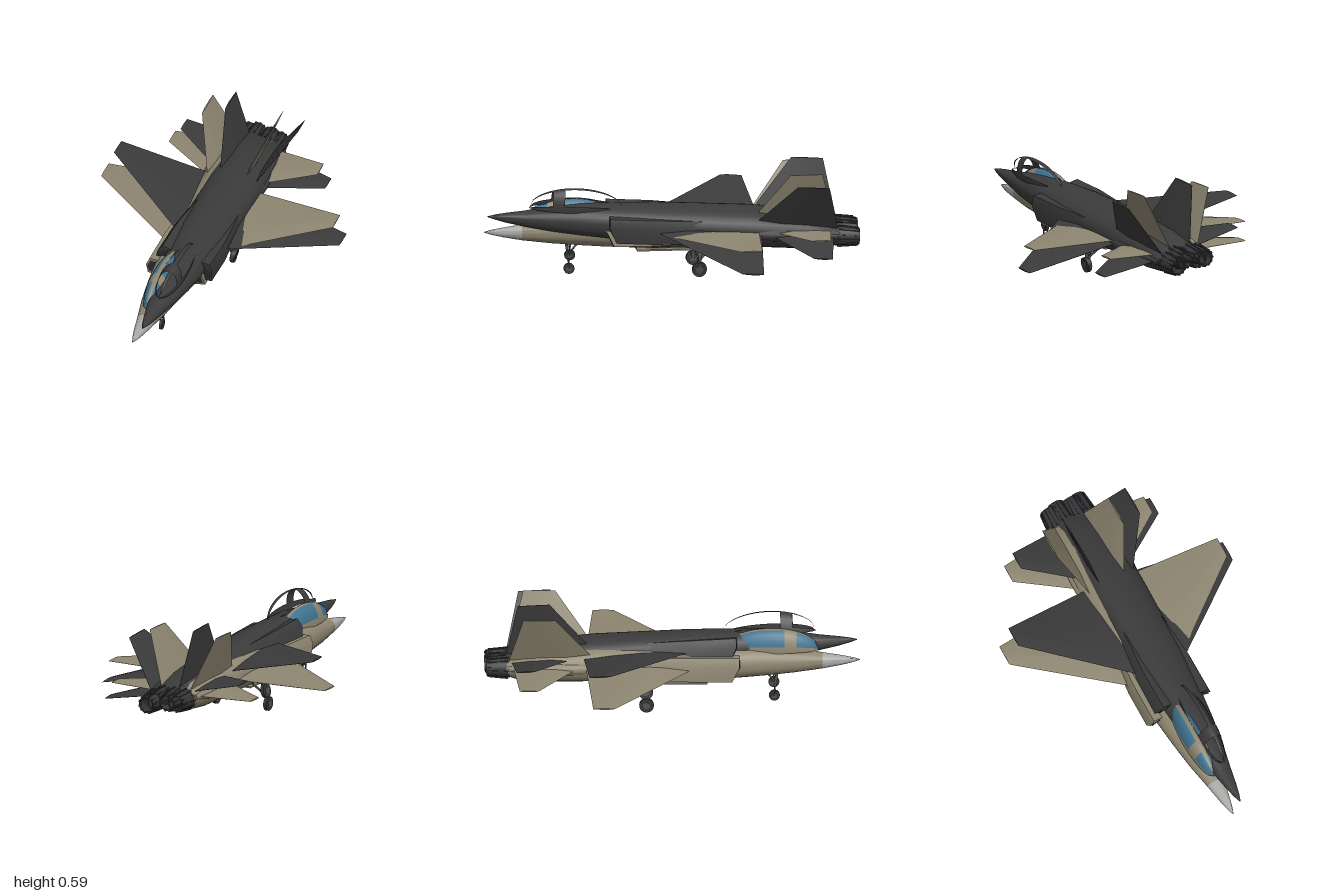
import * as THREE from 'three';
import { toCreasedNormals } from 'three/addons/utils/BufferGeometryUtils.js';

const mat = (name, color) => new THREE.MeshStandardMaterial({ name, color, side: THREE.DoubleSide });

function add(group, name, geometry, material, x = 0, y = 0, z = 0) {
  const mesh = new THREE.Mesh(geometry, material);
  mesh.name = name;
  mesh.position.set(x, y, z);
  group.add(mesh);
  return mesh;
}

// Skin a closed solid over rings of points; winding is corrected by signed volume.
function loft(rings, crease = 0.6) {
  const n = rings[0].length, tris = [];
  for (let i = 0; i < rings.length - 1; i++) {
    for (let j = 0; j < n; j++) {
      const k = (j + 1) % n;
      const a = rings[i][j], b = rings[i][k], c = rings[i + 1][k], d = rings[i + 1][j];
      tris.push([a, b, c], [a, c, d]);
    }
  }
  const first = rings[0], last = rings[rings.length - 1];
  for (let j = 1; j < n - 1; j++) {
    tris.push([first[0], first[j + 1], first[j]], [last[0], last[j], last[j + 1]]);
  }
  let volume = 0;
  for (const [a, b, c] of tris) volume += a.dot(new THREE.Vector3().crossVectors(b, c));
  const points = tris.flatMap(([a, b, c]) => (volume < 0 ? [a, c, b] : [a, b, c]));
  return toCreasedNormals(new THREE.BufferGeometry().setFromPoints(points), crease);
}

// Rounded body section: z, half width, top, bottom.
function bodyRing([z, w, top, bottom]) {
  const ring = [];
  for (let i = 0; i < 32; i++) {
    const a = (i / 32) * Math.PI * 2, c = Math.cos(a), s = Math.sin(a);
    const round = (v) => Math.sign(v) * Math.abs(v) ** 0.88;
    ring.push(new THREE.Vector3(w * round(c), round(s) * (s > 0 ? top : -bottom), z));
  }
  return ring;
}

// Thin tapered aerofoil between stations [x, y, zFront, zBack, halfThickness].
function aerofoil(stations, side, upright = false) {
  const profile = [[0, 0], [0.3, 1], [0.7, 0.8], [1, 0.1], [1, -0.1], [0.7, -0.8], [0.3, -1]];
  return loft(stations.map(([x, y, z0, z1, t]) => profile.map(([f, h]) => new THREE.Vector3(
    side * (x + (upright ? h * t : 0)), y + (upright ? 0 : h * t), z0 + (z1 - z0) * f))), 0.3);
}

// Patch of the canopy ellipsoid: lengthwise range u, angle range a from the crown.
function canopyPatch(u0, u1, a0, a1, scale) {
  const g = new THREE.PlaneGeometry(1, 1, 24, 16), p = g.attributes.position;
  for (let i = 0; i < p.count; i++) {
    const u = u0 + (u1 - u0) * (p.getX(i) + 0.5), a = a0 + (a1 - a0) * (p.getY(i) + 0.5);
    const s = Math.sqrt(Math.max(0, 1 - u * u)) * scale;
    p.setXYZ(i, 0.062 * s * Math.sin(a), 0.116 * s * Math.cos(a), 0.25 * u * scale);
  }
  g.computeVertexNormals();
  return g;
}

function rod(group, name, from, to, radius, material) {
  const a = new THREE.Vector3(...from), b = new THREE.Vector3(...to);
  add(group, name, new THREE.TubeGeometry(new THREE.LineCurve3(a, b), 1, radius, 10), material);
}

function wheel(group, name, x, y, z, r, width, m) {
  const tyre = new THREE.CylinderGeometry(r, r, width, 24).rotateZ(Math.PI / 2);
  add(group, name, tyre, m.tyre, x, y, z);
  add(group, name + 'Hub', new THREE.CylinderGeometry(r * 0.5, r * 0.5, width + 0.006, 16).rotateZ(Math.PI / 2), m.metal, x, y, z);
}

function buildJet(name, skin, nose, glazed, m) {
  const jet = new THREE.Group();
  jet.name = name;

  // Nose cone and fuselage
  const joint = [0.8, 0.047, 0.036, -0.046];
  add(jet, 'noseCone', loft([[1, 0.002, 0.002, -0.002], [0.96, 0.015, 0.012, -0.014],
    [0.9, 0.029, 0.022, -0.028], joint].map(bodyRing)), nose);
  add(jet, 'fuselage', loft([joint, [0.65, 0.077, 0.064, -0.064], [0.5, 0.098, 0.084, -0.077],
    [0.35, 0.115, 0.09, -0.088], [0.1, 0.137, 0.098, -0.1], [-0.4, 0.145, 0.1, -0.102],
    [-0.7, 0.14, 0.082, -0.104], [-0.82, 0.133, 0.058, -0.092], [-0.88, 0.122, 0.035, -0.072]].map(bodyRing)), skin);
  add(jet, 'bellyBayDoors', new THREE.BoxGeometry(0.18, 0.008, 0.4), skin, 0, -0.1, -0.01);

  // Canopy
  const canopy = new THREE.Group();
  canopy.name = 'canopy';
  canopy.position.set(0, 0.06, 0.53);
  jet.add(canopy);
  const h = Math.PI / 2;
  if (glazed) add(canopy, 'glass', canopyPatch(-1, 1, -h, h, 1), m.glass);
  add(canopy, 'frontHoop', canopyPatch(0.27, 0.52, -h, h, 1.015), skin);
  add(canopy, 'spine', canopyPatch(-1, 1, -0.2, 0.2, 1.015), skin);

  for (const s of [1, -1]) {
    const side = s > 0 ? 'left' : 'right';
    add(canopy, side + 'CanopyRail', canopyPatch(-1, 1, s * 1.25, s * h, 1.015), skin);

    // Air intake with a dark mouth
    const duct = [[0.36, 1, 0], [0.12, 1, 0], [-0.25, 0.9, 0.03]].map(([z, f, inset]) =>
      [[0.085, 0.062], [0.138, 0.066], [0.158, 0.02], [0.162, -0.062], [0.1, -0.072]].map(([x, y], i) =>
        new THREE.Vector3(s * (x - inset), y * f, z + (i > 2 && z > 0.3 ? -0.04 : 0))));
    add(jet, side + 'Intake', loft(duct), skin);
    const mouth = new THREE.Shape([[0.1, 0.05], [0.133, 0.054], [0.149, 0.015], [0.152, -0.052], [0.108, -0.06]]
      .map(([x, y]) => new THREE.Vector2(s * x, y)));
    const opening = new THREE.ShapeGeometry(mouth);
    const p = opening.attributes.position;
    for (let i = 0; i < p.count; i++) p.setZ(i, 0.363 - (p.getY(i) < 0 ? 0.04 : 0));
    opening.computeVertexNormals();
    add(jet, side + 'IntakeMouth', opening, m.nozzle);

    // Wing, tailplane and canted fin
    add(jet, side + 'Wing', aerofoil([[0.08, 0.005, 0.17, -0.46, 0.018], [0.15, 0.003, 0.1, -0.455, 0.014],
      [0.655, 0, -0.305, -0.42, 0.004]], s), skin);
    add(jet, side + 'Tailplane', aerofoil([[0.09, 0, -0.48, -0.845, 0.012], [0.42, 0, -0.71, -0.81, 0.004]], s), skin);
    add(jet, side + 'Fin', aerofoil([[0.09, 0.04, -0.41, -0.865, 0.012], [0.2, 0.315, -0.62, -0.79, 0.004]], s, true), skin);
    // Boom joining the tail surfaces to the body
    add(jet, side + 'TailBoom', loft([[-0.3, 0.02], [-0.5, 0.035], [-0.75, 0.035], [-0.87, 0.012]].map(([z, r]) =>
      Array.from({ length: 12 }, (_, i) => new THREE.Vector3(
        s * 0.12 + r * Math.cos(i * Math.PI / 6), r * Math.sin(i * Math.PI / 6), z)))), skin);

    // Hollow exhaust nozzle with petals
    const nozzle = new THREE.Group();
    nozzle.name = side + 'Nozzle';
    nozzle.position.set(s * 0.064, -0.016, -0.86);
    jet.add(nozzle);
    const outline = [[0.055, 0], [0.054, 0.06], [0.044, 0.125], [0.038, 0.125], [0.042, 0.06], [0.001, 0.05]];
    const shell = new THREE.LatheGeometry(outline.map(([r, y]) => new THREE.Vector2(r, y)), 24).rotateX(-Math.PI / 2);
    add(nozzle, 'nozzleShell', toCreasedNormals(shell, 0.5), m.nozzle);
    for (let i = 0; i < 12; i++) {
      const a = (i / 12) * Math.PI * 2;
      const petal = new THREE.BoxGeometry(0.008, 0.014, 0.11).rotateX(-0.1);
      add(nozzle, 'nozzlePetal', petal, m.nozzle, -Math.sin(a) * 0.049, Math.cos(a) * 0.049, -0.065).rotation.z = a;
    }

    // Main landing gear
    rod(jet, side + 'MainStrut', [s * 0.1, -0.06, -0.12], [s * 0.145, -0.14, -0.135], 0.01, m.metal);
    rod(jet, side + 'MainLeg', [s * 0.145, -0.13, -0.135], [s * 0.148, -0.195, -0.135], 0.009, m.metal);
    rod(jet, side + 'MainBrace', [s * 0.1, -0.08, -0.2], [s * 0.14, -0.15, -0.135], 0.006, m.metal);
    wheel(jet, side + 'MainWheel', s * 0.157, -0.195, -0.135, 0.039, 0.018, m);
  }

  // Nose landing gear
  rod(jet, 'noseStrut', [0, -0.06, 0.56], [0, -0.155, 0.548], 0.008, m.metal);
  rod(jet, 'noseBrace', [0, -0.07, 0.5], [0, -0.13, 0.55], 0.005, m.metal);
  for (const s of [1, -1]) rod(jet, 'noseFork', [s * 0.01, -0.15, 0.548], [s * 0.01, -0.205, 0.545], 0.004, m.metal);
  wheel(jet, 'noseWheel', 0, -0.206, 0.545, 0.029, 0.014, m);
  return jet;
}

export function createModel() {
  const m = {
    tan: mat('tan', 0x8e8671), charcoal: mat('charcoal', 0x3b3b3b), pale: mat('pale grey', 0xa8a8a5),
    glass: mat('blue glass', 0x3f7391), nozzle: mat('nozzle grey', 0x353638),
    tyre: mat('tyre', 0x363636), metal: mat('gear metal', 0x515151),
  };
  const model = new THREE.Group();
  model.name = 'jetPair';

  // Level tan jet
  const tanJet = buildJet('tanJet', m.tan, m.pale, true, m);
  tanJet.position.set(-0.02, 0.235, 0);

  // Rolled and slightly pitched charcoal jet, with an open canopy frame
  const darkJet = buildJet('charcoalJet', m.charcoal, m.charcoal, false, m);
  darkJet.position.set(0.03, 0.275, -0.013);
  darkJet.rotation.set(-0.055, 0, -0.21);

  model.add(tanJet, darkJet);
  return model;
}
